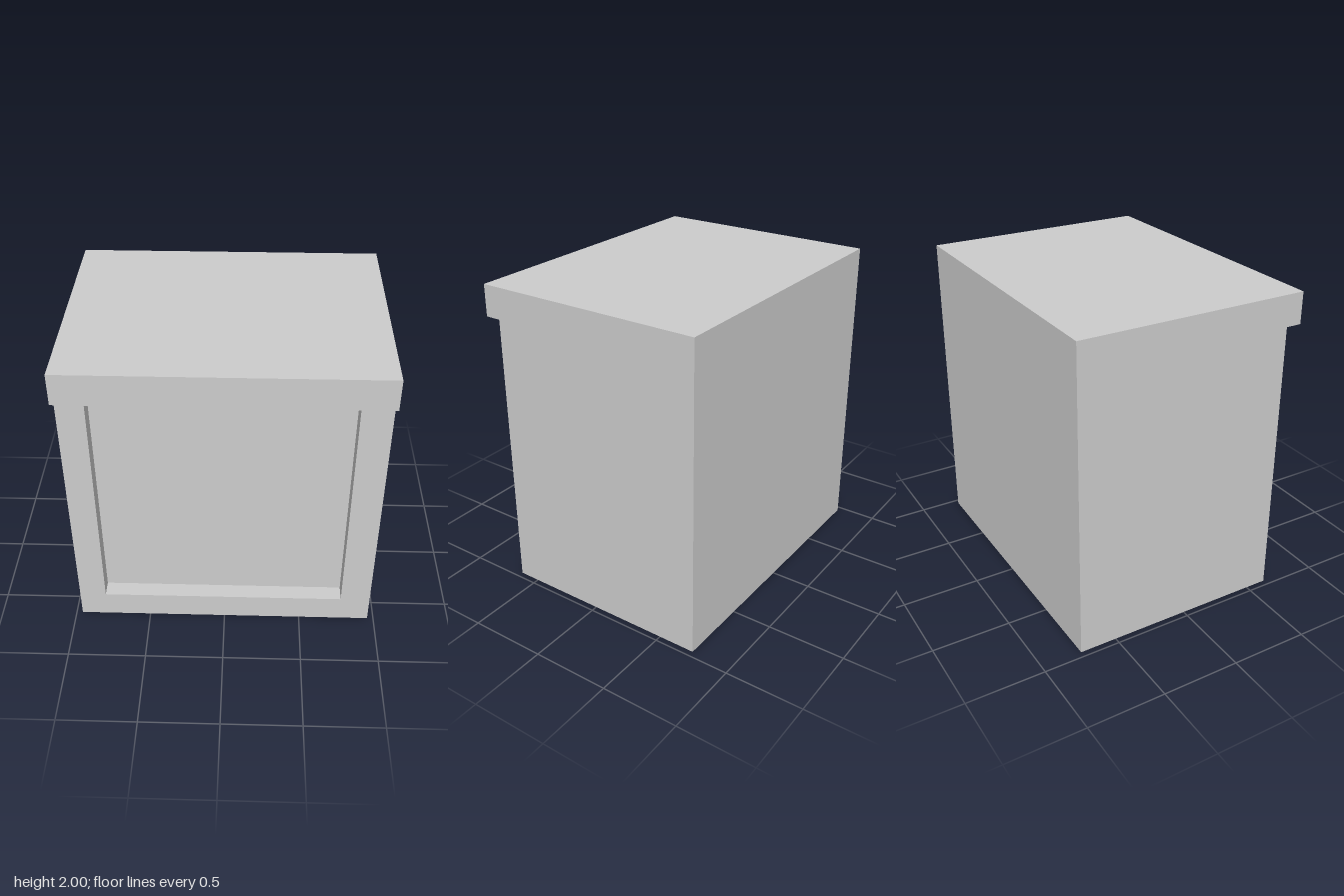
import * as THREE from 'three';
import { mergeGeometries } from 'three/addons/utils/BufferGeometryUtils.js';

const W = 0.96, BACK = -0.74, FACE = 0.64, LIP = 0.74;   // outer extents
const TOP = 2, UNDER = 1.8;                              // lip top and underside
const LEFT = 0.77, RIGHT = -0.79, SILL = 0.18, DEEP = 0.535; // front recess

// Flat polygon in the xy plane
const panel = (pts) =>
  new THREE.ShapeGeometry(new THREE.Shape(pts.map(([x, y]) => new THREE.Vector2(x, y))));

// Flat-faced strip that carries a [z, y] profile across from x0 to x1
function strip(profile, x0, x1) {
  const faces = [];
  for (let i = 0; i < profile.length - 1; i++) {
    const [z0, y0] = profile[i], [z1, y1] = profile[i + 1];
    const g = new THREE.PlaneGeometry(1, 1);
    g.attributes.position.array.set([x0, y1, z1, x1, y1, z1, x0, y0, z0, x1, y0, z0]);
    g.computeVertexNormals();
    faces.push(g);
  }
  return mergeGeometries(faces);
}

export function createModel() {
  const model = new THREE.Group();
  model.name = 'cabinet';
  const material = new THREE.MeshStandardMaterial({ color: 0xcccccc, flatShading: true });
  const add = (name, geometries) => {
    const mesh = new THREE.Mesh(mergeGeometries(geometries), material);
    mesh.name = name;
    model.add(mesh);
  };

  // Outer shell: lip, top, back and base, closed by the two sides
  const outline = [[FACE, UNDER], [LIP, UNDER], [LIP, TOP], [BACK, TOP], [BACK, 0], [FACE, 0]];
  add('outerShell', [
    strip(outline, -W, W),
    panel(outline.map(([z, y]) => [-z, y])).rotateY(Math.PI / 2).translate(W, 0, 0),
    panel(outline).rotateY(-Math.PI / 2).translate(-W, 0, 0),
  ]);

  // U-shaped frame around the recess
  add('frontFrame', [panel([
    [-W, 0], [W, 0], [W, UNDER], [LEFT, UNDER], [LEFT, SILL],
    [RIGHT, SILL], [RIGHT, UNDER], [-W, UNDER],
  ]).translate(0, 0, FACE)]);

  // Recess: sill, back panel and ceiling, with a jamb on each side
  const jamb = (x, turn) => new THREE.PlaneGeometry(FACE - DEEP, UNDER - SILL)
    .rotateY(turn).translate(x, (UNDER + SILL) / 2, (FACE + DEEP) / 2);
  add('frontRecess', [
    strip([[FACE, SILL], [DEEP, SILL], [DEEP, UNDER], [FACE, UNDER]], RIGHT, LEFT),
    jamb(RIGHT, Math.PI / 2),
    jamb(LEFT, -Math.PI / 2),
  ]);

  return model;
}
